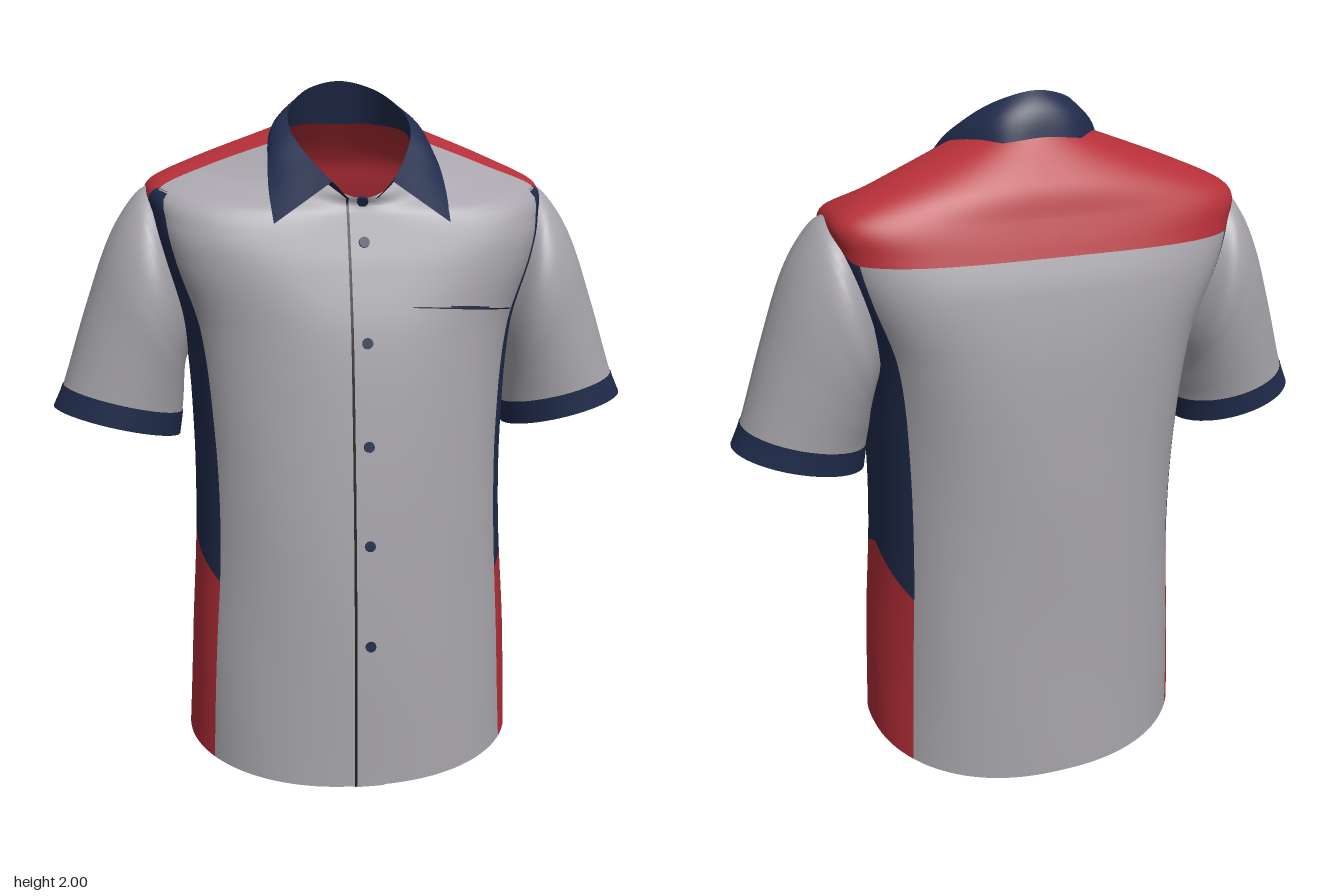
import * as THREE from 'three';

const mat = (name, color) => {
  const m = new THREE.MeshStandardMaterial({ color, side: THREE.DoubleSide });
  m.name = name;
  return m;
};
const V = (x, y, z) => new THREE.Vector3(x, y, z);
const lerp = THREE.MathUtils.lerp;
const D = Math.PI / 180;

// Smooth interpolation through rows of [key, value, value, ...]
function smooth(rows, t) {
  const n = rows.length - 1;
  t = THREE.MathUtils.clamp(t, rows[0][0], rows[n][0]);
  let i = 0;
  while (i < n - 1 && t > rows[i + 1][0]) i++;
  const slope = (k, c) => {
    const p = rows[Math.max(k - 1, 0)], q = rows[Math.min(k + 1, n)];
    return (q[c] - p[c]) / (q[0] - p[0]);
  };
  const a = rows[i], b = rows[i + 1], h = b[0] - a[0], s = (t - a[0]) / h;
  return a.slice(1).map((v, k) => {
    const c = k + 1, s2 = s * s, s3 = s2 * s;
    return (2 * s3 - 3 * s2 + 1) * v + (s3 - 2 * s2 + s) * h * slope(i, c)
      + (3 * s2 - 2 * s3) * b[c] + (s3 - s2) * h * slope(i + 1, c);
  });
}

// Grid over u, v in 0..1; normals are taken from the underlying surface if given
function patch(nu, nv, point, normal) {
  const pos = [], nor = [], idx = [];
  for (let j = 0; j <= nv; j++) for (let i = 0; i <= nu; i++) {
    pos.push(...point(i / nu, j / nv).toArray());
    if (normal) nor.push(...normal(i / nu, j / nv).toArray());
    if (i < nu && j < nv) {
      const a = j * (nu + 1) + i, d = a + nu + 1;
      idx.push(a, a + 1, d + 1, a, d + 1, d);
    }
  }
  const g = new THREE.BufferGeometry();
  g.setAttribute('position', new THREE.Float32BufferAttribute(pos, 3));
  g.setIndex(idx);
  if (normal) g.setAttribute('normal', new THREE.Float32BufferAttribute(nor, 3));
  else g.computeVertexNormals();
  return g;
}

// Torso sections: level, half width, z of widest point, front z, back z,
// side y, front y, back y, front roundness, back roundness
const TOP = 1.86, TIP = 1.70, YOKE = 1.6;
const torso = [
  [0, .487, 0, .39, -.385, .06, 0, 0, .89, .87],
  [.35, .475, 0, .385, -.385, .37, .35, .35, .89, .87],
  [.7, .457, 0, .372, -.387, .7, .7, .7, .87, .85],
  [1.0, .46, -.01, .352, -.388, 1.0, 1.0, 1.0, .85, .82],
  [1.3, .485, -.04, .322, -.382, 1.3, 1.29, 1.3, .75, .72],
  [1.5, .545, -.07, .287, -.358, 1.5, 1.47, 1.5, .6, .58],
  [1.62, .572, -.09, .265, -.328, 1.62, 1.56, 1.61, .6, .54],
  [TIP, .575, -.1, .25, -.302, 1.71, 1.62, 1.69, .78, .56],
  [1.76, .45, -.1, .243, -.275, 1.775, 1.65, 1.77, 1.15, .75],
  [TOP, .195, -.05, .25, -.187, 1.872, 1.67, 1.895, 1.05, 1],
];
const spow = (x, e) => Math.sign(x) * Math.abs(x) ** e;
function body(th, v) {
  const [a, zc, zf, zb, ys, yf, yb, ef, eb] = smooth(torso, v);
  const s = Math.sin(th), c = Math.cos(th), e = c > 0 ? ef : eb;
  const fold = 1 + .006 * Math.sin(5 * th + 3 * v) * Math.sin(4 * v);
  return V(a * spow(s, e) * fold,
    lerp(ys, c > 0 ? yf : yb, Math.abs(c) ** 1.6),
    zc + (c > 0 ? zf - zc : zc - zb) * spow(c, e) * fold);
}
function bodyNormal(th, v) {
  const du = body(th + .03, v).sub(body(th - .03, v));
  const dv = body(th, Math.min(v + .004, TOP)).sub(body(th, Math.max(v - .004, 0)));
  return du.cross(dv).normalize();
}
// Patch of the torso between two angle curves and two level curves
function panel(nu, nv, th0, th1, v0, v1, lift = 0) {
  const at = (u, t) => {
    const v = lerp(v0(u), v1(u), t);
    return [lerp(th0(v), th1(v), u), v];
  };
  return patch(nu, nv,
    (u, t) => { const p = at(u, t); return body(...p).addScaledVector(bodyNormal(...p), lift); },
    (u, t) => bodyNormal(...at(u, t)));
}
// Angle of a given x on the front
const angleAt = (x, v) => {
  const r = smooth(torso, v);
  return Math.asin(spow(x / r[0], 1 / r[7]));
};

// Sleeve sections: t, outer x, outer y, inner x, inner y, z centre, half depth
const sleeveRows = [
  [0, .555, 1.712, .455, 1.24, -.085, .145],
  [.12, .612, 1.676, .475, 1.19, -.078, .197],
  [.35, .69, 1.555, .482, 1.14, -.068, .203],
  [.62, .765, 1.35, .485, 1.09, -.062, .187],
  [.88, .835, 1.13, .49, 1.04, -.055, .17],
  [1, .864, 1.062, .5, .97, -.053, .165],
];
const sleeve = (side, t0, t1, scale = 1) => patch(48, 30, (u, t) => {
  const [ox, oy, ix, iy, zc, d] = smooth(sleeveRows, lerp(t0, t1, t));
  const p = u * Math.PI * 2 * side, c = Math.cos(p) * scale / 2;
  return V(side * ((ox + ix) / 2 + c * (ox - ix)), (oy + iy) / 2 + c * (oy - iy),
    zc + d * Math.sin(p) * scale);
});

// Collar curves, half given from the centre back and mirrored
const mirrored = (half) => {
  const pts = half.map((p) => V(...p));
  return new THREE.CatmullRomCurve3(
    [...pts.slice(1).reverse().map((p) => V(-p.x, p.y, p.z)), ...pts]);
};
const foldLine = mirrored([[0, 2, -.14], [.1, 1.975, -.115], [.168, 1.91, -.02],
  [.173, 1.85, .07], [.135, 1.778, .165], [.085, 1.715, .25]]);
const outerEdge = mirrored([[0, 1.885, -.2], [.12, 1.872, -.18], [.222, 1.846, -.04],
  [.244, 1.775, .095], [.252, 1.695, .175], [.248, 1.602, .258]]);
const neckEdge = mirrored([[0, 1.875, -.178], [.1, 1.875, -.155], [.178, 1.85, -.04],
  [.175, 1.79, .07], [.125, 1.71, .17], [.035, 1.665, .25]]);
const sheet = (from, to, bulge) => patch(72, 8, (u, t) => {
  const p = from.getPoint(u).lerp(to.getPoint(u), t);
  const k = bulge * Math.sin(t * Math.PI) * Math.sin(u * Math.PI);
  return p.add(V(p.x, 0, p.z - .05).normalize().multiplyScalar(k)).add(V(0, k, 0));
});

export function createModel() {
  const grey = mat('grey cloth', 0xa7a5ab), navy = mat('navy cloth', 0x202c4c);
  const red = mat('red cloth', 0xb52f38), dark = mat('dark lining', 0x1c1c1e);
  const shirt = new THREE.Group();
  shirt.name = 'shirt';
  const add = (name, geo, m) => {
    const mesh = new THREE.Mesh(geo, m);
    mesh.name = name;
    shirt.add(mesh);
    return mesh;
  };
  const k = (x) => () => x;

  // Seam angles on the front and back of the side panels, and the yoke's front edge
  const F = 63, B = 118, Y = 70;
  const frontRows = [[0, 61], [.6, 60], [1.3, 62.5], [1.5, F], [YOKE, F], [TIP, F]];
  const front = (v) => smooth(frontRows, v)[0] * D;
  const backRows = [[0, 122], [.7, 121], [1.3, 120], [YOKE, B], [TIP, B]];
  const back = (v) => (v >= YOKE ? B : smooth(backRows, v)[0]) * D;
  // Lower edge of the yoke: low across the back, rising to the shoulder tips
  const yokeEdge = (deg) => {
    const d = Math.abs(deg - 180), s = THREE.MathUtils.smoothstep;
    return YOKE + .05 * s(d, 180 - B, 90) + .05 * s(d, 95, 180 - Y);
  };

  // Main panels
  add('frontPanel', panel(56, 80, (v) => -front(v), front, k(0), k(TIP)), grey);
  add('upperFront', panel(64, 20, k(-Y * D), k(Y * D), k(TIP - .004), k(TOP)), grey);
  add('backPanel', panel(56, 80, back, (v) => 2 * Math.PI - back(v), k(0), k(YOKE)), grey);
  add('yoke', panel(108, 24, k(Y * D), k((360 - Y) * D),
    (u) => yokeEdge(lerp(Y, 360 - Y, u)), k(TOP)), red);

  // Inner lining, set in from the hem and closing above like a dome
  add('bodyLining', patch(72, 30, (u, t) => {
    const p = body(u * 2 * Math.PI, .004 + .8 * t), s = .985 * Math.sqrt(1 - t ** 3);
    return V(p.x * s, p.y, p.z * s);
  }), grey);

  // Side panels, sleeves and cuffs
  for (const side of [1, -1]) {
    const label = side > 0 ? 'left' : 'right';
    const a = side > 0 ? front : (v) => -back(v), b = side > 0 ? back : (v) => -front(v);
    const peak = (u) => .575 + .105 * (1 - Math.abs(2 * u - 1));
    const top = (u) => yokeEdge(lerp(F, B, side > 0 ? u : 1 - u));
    add(label + 'LowerSide', panel(24, 30, a, b, k(0), peak), red);
    add(label + 'UpperSide', panel(24, 50, a, b, peak, top), navy);
    add(label + 'Sleeve', sleeve(side, 0, .885), grey);
    add(label + 'Cuff', sleeve(side, .885, 1, 1.012), navy);
    add(label + 'SleeveLining', sleeve(side, .3, .99, .965), dark);
  }

  // Collar
  add('collarFall', sheet(foldLine, outerEdge, .012), navy);
  add('collarStand', sheet(neckEdge, foldLine, 0), navy);

  // Front placket with its seam line
  const strip = (x0, x1, v0, v1, lift) =>
    panel(6, 80, (v) => angleAt(x0, v), (v) => angleAt(x1, v), k(v0), k(v1), lift);
  add('placket', strip(-.038, .04, 0, 1.84, .005), grey);
  add('placketSeam', strip(-.045, -.037, 0, 1.84, .003), dark);

  // Buttons
  for (const v of [.42, .71, .99, 1.285, 1.605, 1.82]) {
    const b = add('button', new THREE.CylinderGeometry(.015, .016, .009, 16), navy);
    const n = bodyNormal(0, v);
    b.position.copy(body(0, v)).addScaledVector(n, .005);
    b.quaternion.setFromUnitVectors(V(0, 1, 0), n);
  }

  // Chest pocket welt, slightly slanted
  const welt = (x0, x1, h, lift, drop) => panel(24, 2,
    (v) => angleAt(x0, v), (v) => angleAt(x1, v),
    (u) => 1.405 - .094 * (lerp(x0, x1, u) - .12) - drop - h,
    (u) => 1.405 - .094 * (lerp(x0, x1, u) - .12) - drop, lift);
  add('pocketWelt', welt(.12, .44, .016, .007, 0), grey);
  add('pocketSeam', welt(.13, .44, .004, .008, .015), dark);
  add('pocketOpening', welt(.24, .36, .008, .009, .006), navy);
  return shirt;
}
